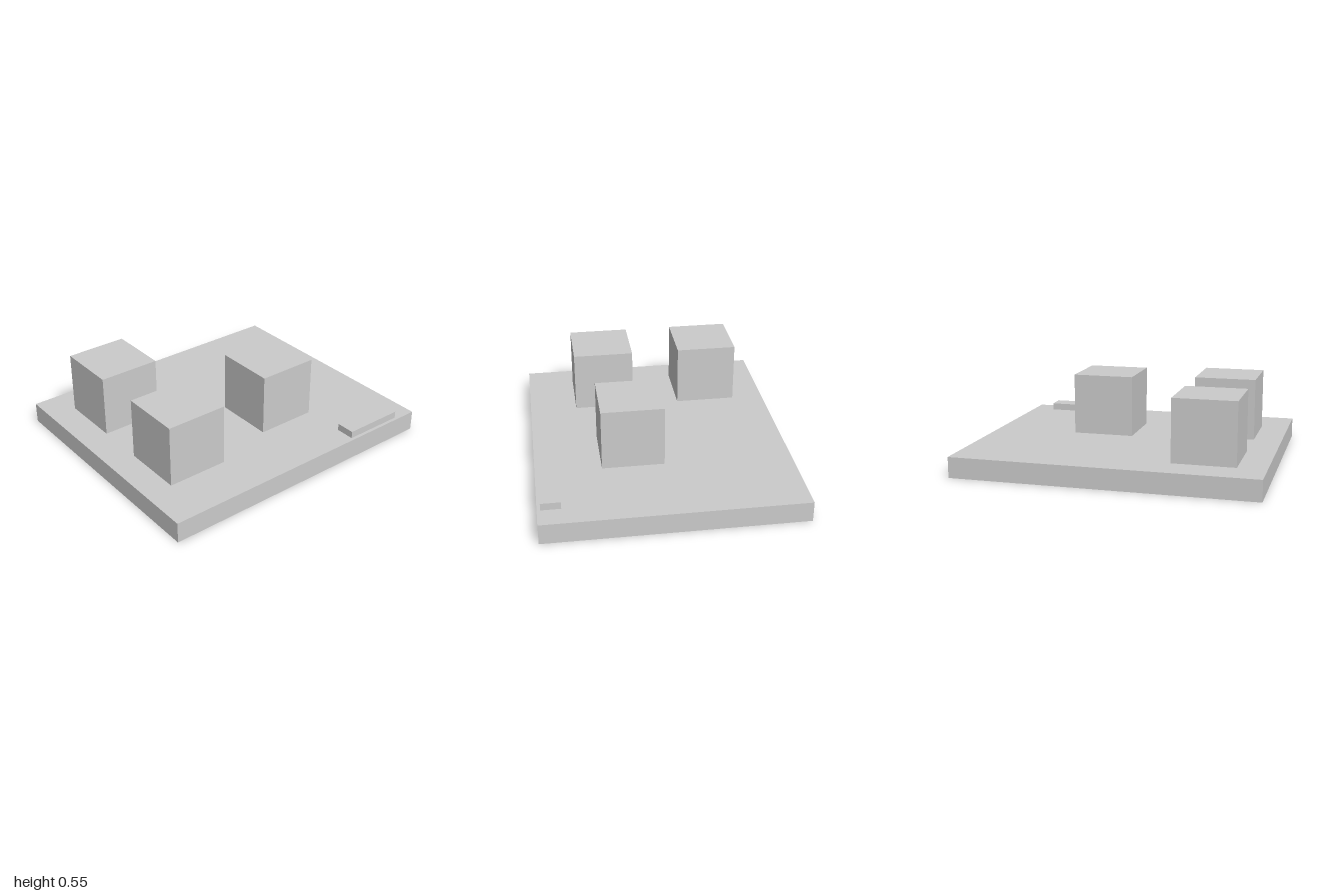
import * as THREE from 'three';

const material = new THREE.MeshStandardMaterial({ color: 0xcccccc, flatShading: true });

// Box resting on height y, centred on x and z
function block(name, [w, h, d], [x, y, z]) {
  const mesh = new THREE.Mesh(new THREE.BoxGeometry(w, h, d), material);
  mesh.name = name;
  mesh.position.set(x, y + h / 2, z);
  return mesh;
}

export function createModel() {
  const model = new THREE.Group();
  model.name = 'boardWithBlocks';

  // Base slab
  const top = 0.138;
  model.add(block('base', [1.7, top, 2], [0, 0, 0]));

  // Three equal cubes: two at the front, one further back
  const side = 0.413;
  const cubes = { frontRightCube: [-0.425, 0.606], frontLeftCube: [0.317, 0.606], backCube: [0.206, -0.225] };
  for (const [name, [x, z]] of Object.entries(cubes)) {
    model.add(block(name, [side, side, side], [x, top, z]));
  }

  // Low bar near the back left edge
  model.add(block('lowBar', [0.128, 0.048, side], [0.764, top, -0.641]));

  return model;
}
